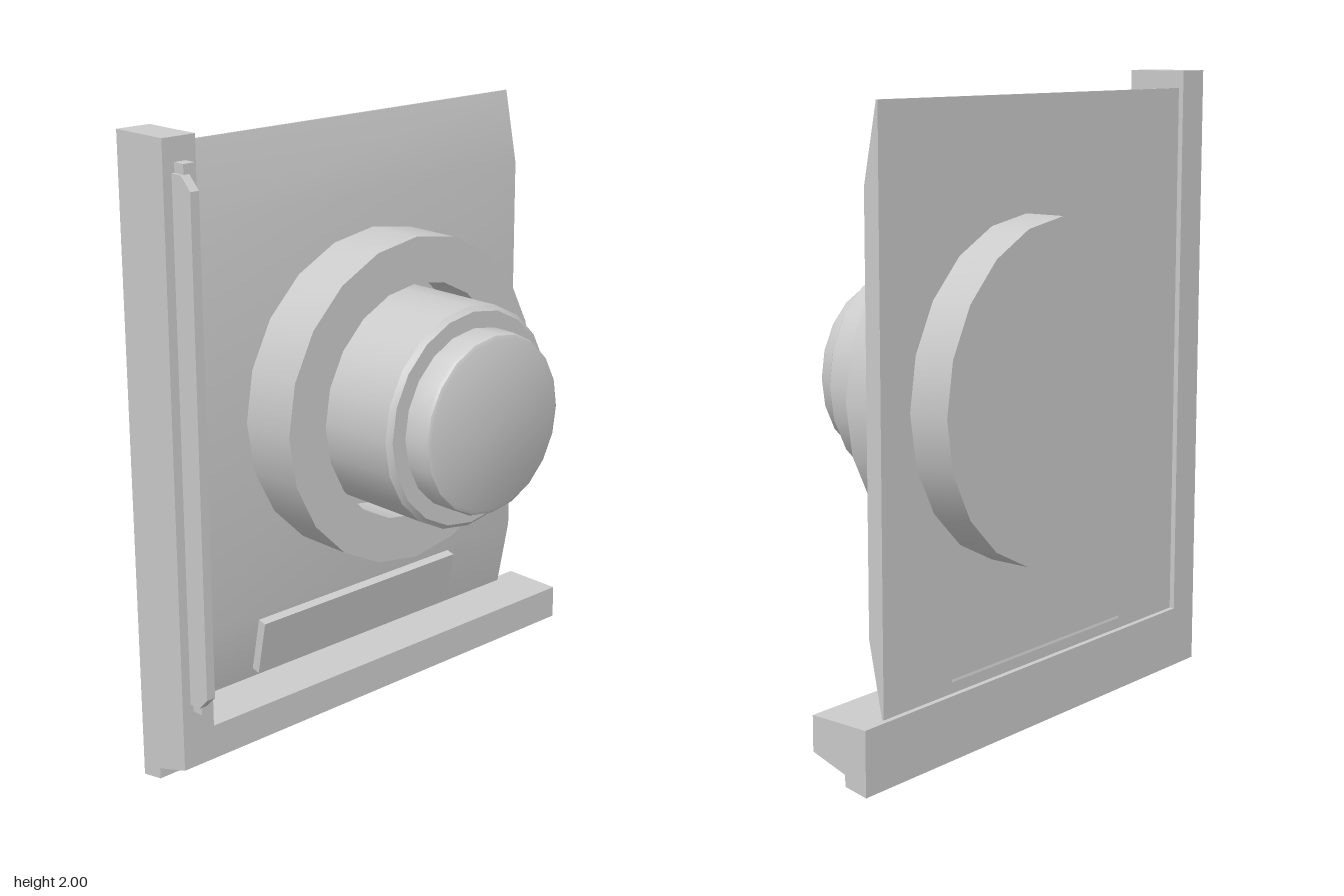
import * as THREE from 'three';
import { toCreasedNormals } from 'three/addons/utils/BufferGeometryUtils.js';

const material = new THREE.MeshStandardMaterial({ color: 0xcccccc });

function add(group, name, geometry) {
  const mesh = new THREE.Mesh(toCreasedNormals(geometry, 0.6), material);
  mesh.name = name;
  group.add(mesh);
  return mesh;
}

// Extrudes an x-y profile from z0 to z1
function profile(points, z0, z1) {
  const shape = new THREE.Shape(points.map(([x, y]) => new THREE.Vector2(x, y)));
  return new THREE.ExtrudeGeometry(shape, { depth: z1 - z0, bevelEnabled: false }).translate(0, 0, z0);
}

// Turned part along the x axis; points are [radius, x]
function turned(points) {
  return new THREE.LatheGeometry(points.map(([r, x]) => new THREE.Vector2(r, x)), 20)
    .rotateZ(-Math.PI / 2)
    .translate(0, 1.07, -0.083);
}

export function createModel() {
  const model = new THREE.Group();
  model.name = 'panelWithKnob';

  // Frame: stepped bottom rail and upright post
  add(model, 'bottomRail', profile(
    [[-0.245, 0], [-0.165, 0.015], [-0.165, 0.05], [-0.04, 0.09], [-0.04, 0.2], [-0.245, 0.2]], -0.825, 0.825));
  add(model, 'post', profile(
    [[-0.245, 0.2], [-0.04, 0.2], [-0.04, 2], [-0.245, 2]], 0.71, 0.825));

  // Panel with its face sloping back at top and bottom
  add(model, 'panel', profile(
    [[-0.222, 0.2], [-0.175, 0.43], [-0.175, 1.71], [-0.222, 1.945], [-0.228, 1.945], [-0.228, 0.2]], -0.73, 0.71));

  // Raised plate on the lower slope
  add(model, 'lowerPlate', profile(
    [[-0.23, 0.235], [-0.186, 0.225], [-0.149, 0.405], [-0.185, 0.413]], -0.43, 0.41));

  // Thin strips on the post, the outer one chamfered
  add(model, 'stripBase', profile(
    [[-0.04, 0.275], [0, 0.275], [0, 1.93], [-0.04, 1.93]], 0.745, 0.785));
  add(model, 'stripEdge', profile(
    [[-0.04, 0.3], [0, 0.3], [0.04, 0.34], [0.04, 1.86], [0, 1.9], [-0.04, 1.9]], 0.765, 0.795));

  // Drum with a ring recess, and the stepped knob inside it
  add(model, 'drum', turned(
    [[0, -0.365], [0.525, -0.365], [0.525, 0.02], [0.38, 0.02], [0.38, -0.15], [0, -0.15]]));
  add(model, 'knob', turned(
    [[0, -0.16], [0.352, -0.16], [0.352, 0.25], [0.337, 0.265], [0.285, 0.265],
      [0.285, 0.342], [0.28, 0.354], [0.268, 0.36], [0, 0.36]]));

  return model;
}
